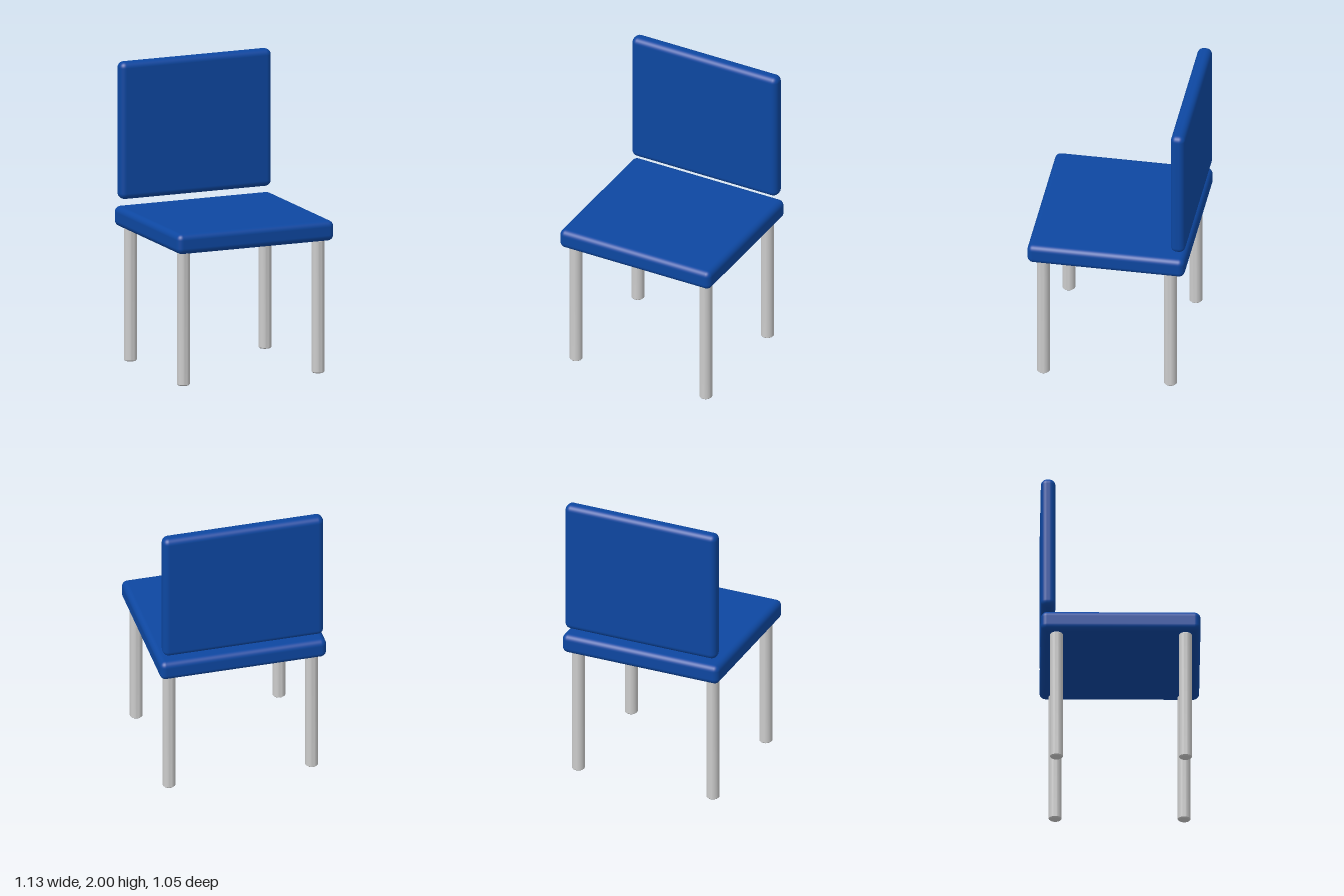
import * as THREE from 'three';
import { RoundedBoxGeometry } from 'three/addons/geometries/RoundedBoxGeometry.js';
import { toCreasedNormals } from 'three/addons/utils/BufferGeometryUtils.js';

const blue = new THREE.MeshStandardMaterial({ color: 0x0d47a1 });
const grey = new THREE.MeshStandardMaterial({ color: 0xcccccc });

// Padded slab with softly rounded edges
function cushion(name, width, height, depth, y, z) {
  const mesh = new THREE.Mesh(new RoundedBoxGeometry(width, height, depth, 4, 0.04), blue);
  mesh.name = name;
  mesh.position.set(0, y, z);
  return mesh;
}

export function createModel() {
  const chair = new THREE.Group();
  chair.name = 'chair';

  // Seat, with the backrest floating just above its rear edge
  chair.add(cushion('seat', 1.13, 0.135, 1.05, 0.9625, 0));
  chair.add(cushion('backrest', 1.09, 0.922, 0.096, 1.539, -0.477));

  // Four round legs with slightly eased ends
  const radius = 0.043, ease = 0.007, top = 0.895;
  const profile = [
    [0, 0], [radius - ease, 0], [radius, ease],
    [radius, top - ease], [radius - ease, top], [0, top],
  ].map(([r, y]) => new THREE.Vector2(r, y));
  const legGeometry = toCreasedNormals(new THREE.LatheGeometry(profile, 32), 0.6);
  for (const [end, z] of [['front', 0.426], ['rear', -0.422]]) {
    for (const [side, x] of [['Left', 0.485], ['Right', -0.485]]) {
      const leg = new THREE.Mesh(legGeometry, grey);
      leg.name = `${end}${side}Leg`;
      leg.position.set(x, 0, z);
      chair.add(leg);
    }
  }
  return chair;
}
